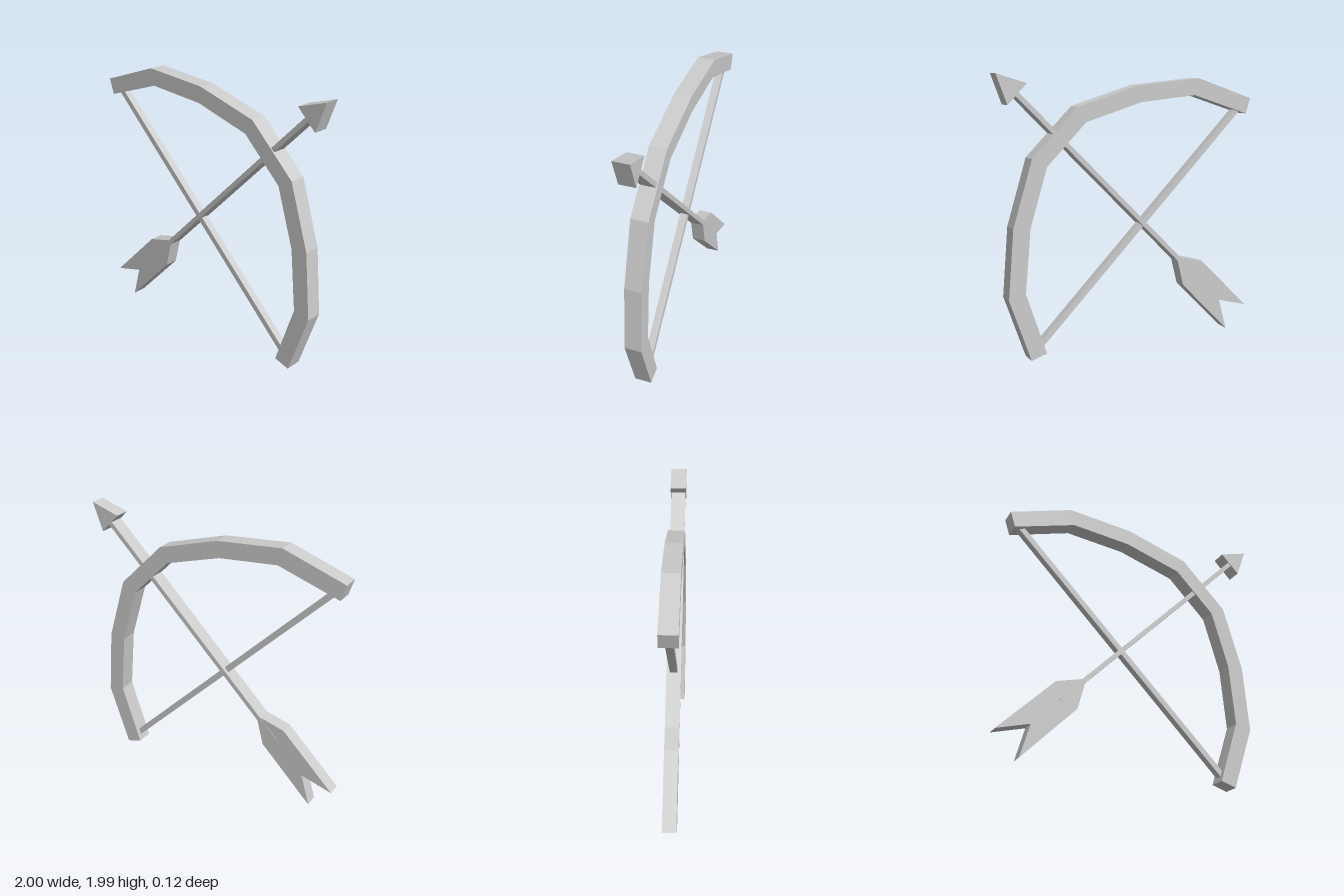
import * as THREE from 'three';

const material = new THREE.MeshStandardMaterial({ color: 0xcccccc, flatShading: true });

// Flat outline in x/y, extruded symmetrically about z = 0
function plate(name, points, depth) {
  const shape = new THREE.Shape(points.map(([x, y]) => new THREE.Vector2(x, y)));
  const geometry = new THREE.ExtrudeGeometry(shape, { depth, bevelEnabled: false });
  geometry.translate(0, 0, -depth / 2);
  const mesh = new THREE.Mesh(geometry, material);
  mesh.name = name;
  return mesh;
}

// Straight square-cut bar between two points in the x/y plane
function bar(name, [x1, y1], [x2, y2], width, depth) {
  const length = Math.hypot(x2 - x1, y2 - y1);
  const mesh = new THREE.Mesh(new THREE.BoxGeometry(length, width, depth), material);
  mesh.position.set((x1 + x2) / 2, (y1 + y2) / 2, 0);
  mesh.rotation.z = Math.atan2(y2 - y1, x2 - x1);
  mesh.name = name;
  return mesh;
}

export function createModel() {
  const model = new THREE.Group();
  model.name = 'bowAndArrow';

  // Bow: outer edge from upper tip to lower tip, then back along the inner edge
  const outer = [[-1, 1.8], [-0.54, 1.955], [-0.05, 1.91], [0.42, 1.77],
    [0.762, 1.428], [0.906, 0.96], [0.949, 0.465], [0.794, 0.01]];
  const inner = [[-0.963, 1.686], [-0.51, 1.832], [-0.067, 1.79], [0.361, 1.662],
    [0.655, 1.368], [0.783, 0.95], [0.826, 0.495], [0.678, 0.046]];
  const bow = new THREE.Group();
  bow.name = 'bow';
  bow.add(
    plate('bowLimbs', [...outer, ...inner.reverse()], 0.124),
    bar('bowString', [-0.91, 1.72], [0.715, 0.095], 0.042, 0.055),
  );

  // Arrow: deep narrow shaft, triangular head and notched fletching
  const arrow = new THREE.Group();
  arrow.name = 'arrow';
  arrow.add(
    bar('arrowShaft', [-0.56, 0.449], [0.87, 1.879], 0.034, 0.106),
    plate('arrowHead', [[1, 2], [0.785, 1.934], [0.924, 1.792]], 0.116),
    plate('fletching', [[-1, 0.18], [-0.6, 0.575], [-0.377, 0.634],
      [-0.436, 0.405], [-0.828, 0.01], [-0.762, 0.246]], 0.1),
  );

  model.add(bow, arrow);
  return model;
}
